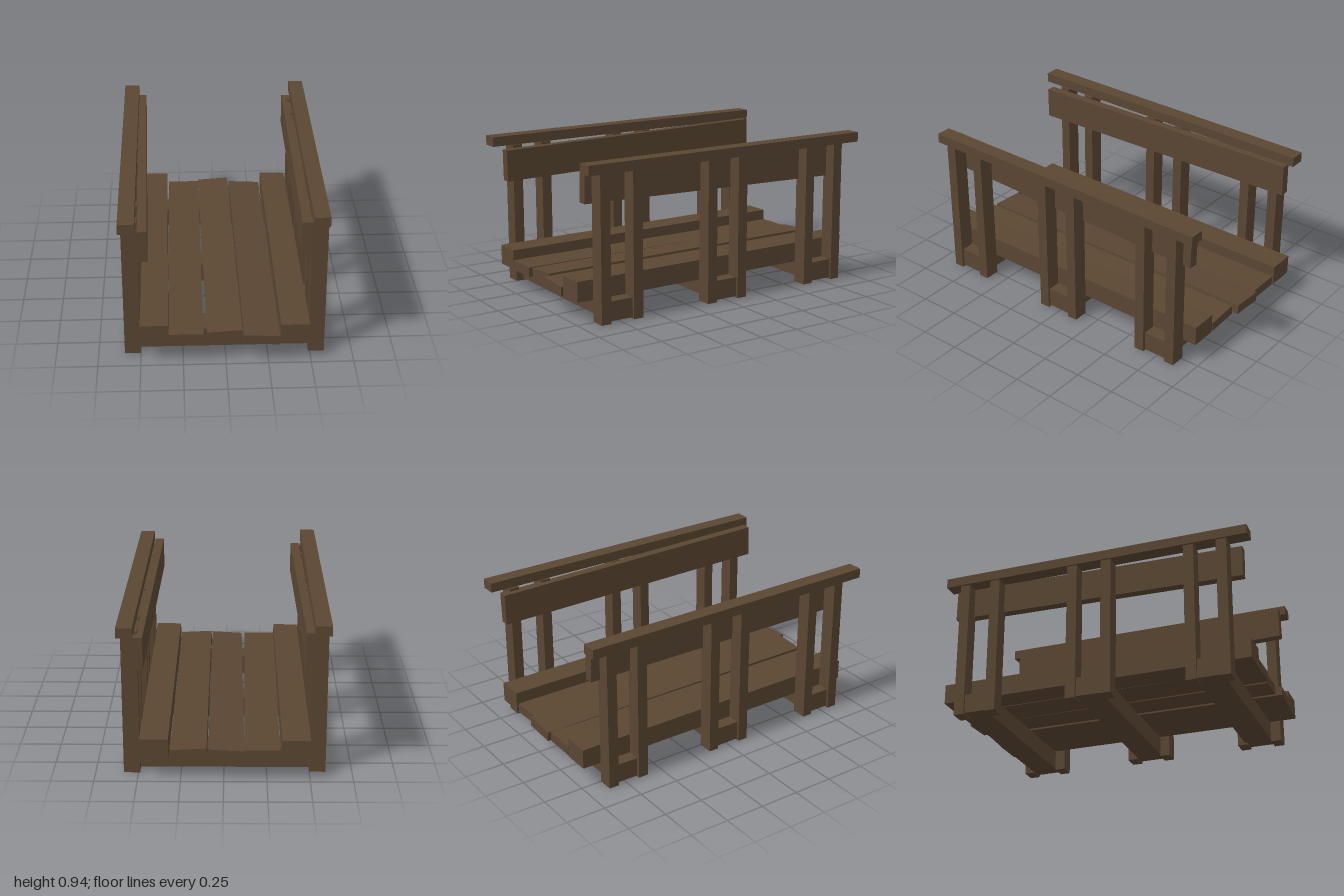
import * as THREE from 'three';

export function createModel() {
  const model = new THREE.Group();
  model.name = 'footbridge';
  const wood = new THREE.MeshStandardMaterial({ color: 0x5a4632 });
  wood.name = 'dark wood';

  // Axis-aligned timber given by its ranges
  function timber(name, [x0, x1], [y0, y1], [z0, z1]) {
    const mesh = new THREE.Mesh(new THREE.BoxGeometry(x1 - x0, y1 - y0, z1 - z0), wood);
    mesh.name = name;
    mesh.position.set((x0 + x1) / 2, (y0 + y1) / 2, (z0 + z1) / 2);
    model.add(mesh);
    return mesh;
  }

  // Lengthwise timber laid a little crooked: dx, dy shift from back to front, roll about its length
  function crooked(name, x, y, z, dx = 0, dy = 0, roll = 0) {
    const mesh = timber(name, x, y, z);
    const length = z[1] - z[0];
    mesh.rotation.set(-Math.atan2(dy, length), Math.atan2(dx, length), roll);
  }

  // Crossbeams under the deck
  for (const z of [[0.65, 0.82], [-0.08, 0.08], [-0.825, -0.665]]) {
    timber('crossbeam', [-0.58, 0.57], [0.01, 0.13], z);
  }

  // Pairs of posts clamping each crossbeam
  const rightPosts = [0.852, 0.635, 0.11, -0.11, -0.63, -0.85];
  const leftPosts = [0.838, 0.635, 0.11, -0.11, -0.63, -0.835];
  for (const z of rightPosts) timber('post', [0.49, 0.585], [0, 0.88], [z - 0.032, z + 0.032]);
  for (const z of leftPosts) timber('post', [-0.595, -0.5], [0, 0.88], [z - 0.032, z + 0.032]);

  // Thick edge beams of the deck
  timber('deckEdge', [-0.5, -0.335], [0.13, 0.253], [-0.985, 0.97]);
  timber('deckEdge', [0.32, 0.487], [0.13, 0.253], [-0.97, 0.985]);

  // Loose deck planks
  crooked('deckPlank', [-0.33, -0.125], [0.13, 0.19], [-0.98, 0.97], -0.013);
  crooked('deckPlank', [-0.113, 0.093], [0.138, 0.198], [-1, 0.957], 0.009, 0, 0.06);
  crooked('deckPlank', [0.1, 0.31], [0.13, 0.188], [-0.965, 0.995], 0.005, 0, -0.05);

  // Handrails on top of the posts
  crooked('handrail', [-0.607, -0.512], [0.88, 0.94], [-0.96, 1]);
  crooked('handrail', [0.5, 0.593], [0.88, 0.94], [-1, 0.957], -0.015);

  // Crooked side boards inside the posts
  crooked('sideBoard', [-0.51, -0.455], [0.678, 0.873], [-0.925, 0.94], 0.02, -0.025);
  crooked('sideBoard', [0.443, 0.5], [0.682, 0.878], [-0.937, 0.927], -0.028, 0.034);

  return model;
}
